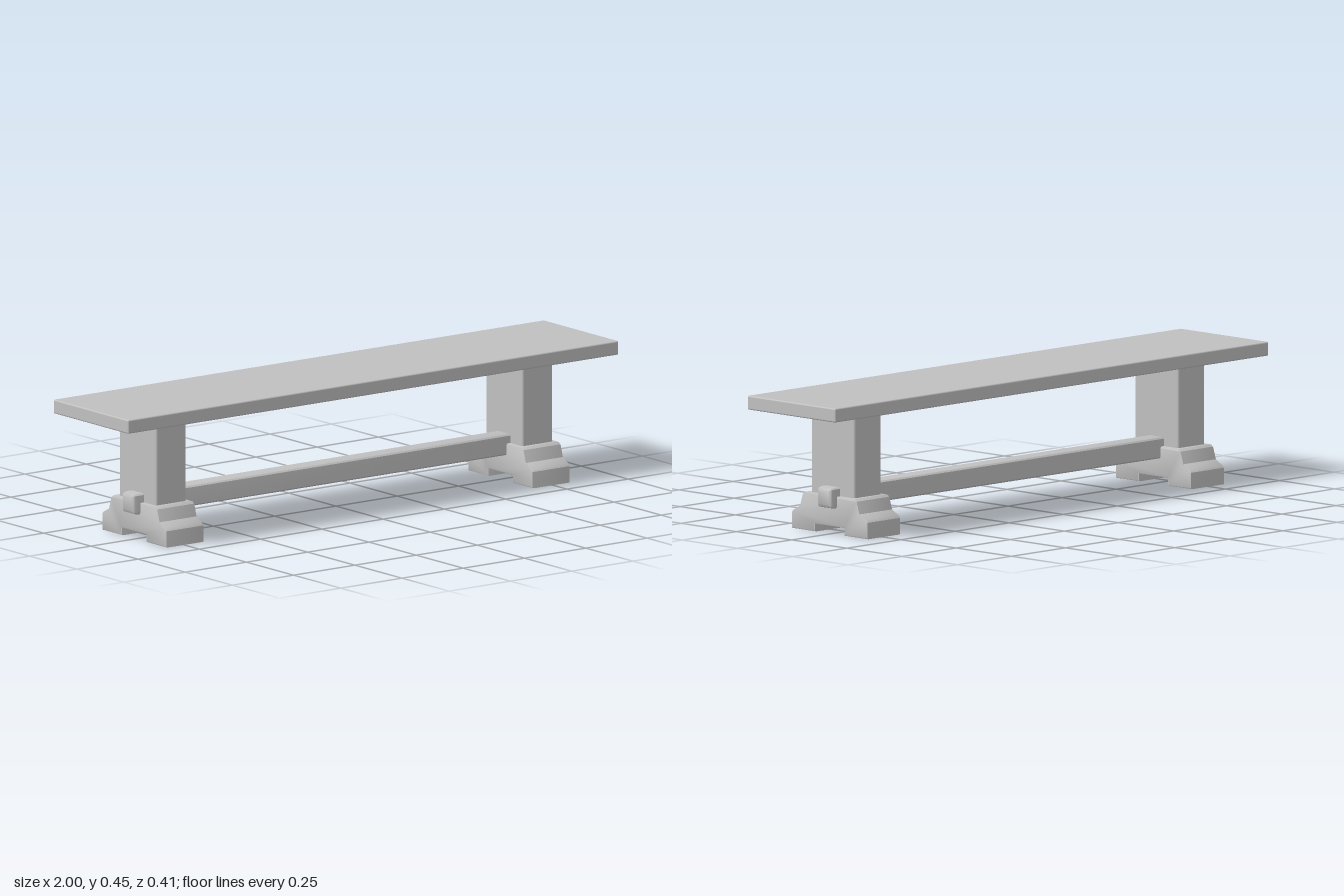
import * as THREE from 'three';
import { RoundedBoxGeometry } from 'three/addons/geometries/RoundedBoxGeometry.js';
import { toCreasedNormals } from 'three/addons/utils/BufferGeometryUtils.js';

// Extrude a (z, y) profile along x, centred, with softened end edges
function extrudeAlongX(points, length, bevelLength, bevelSize) {
  const shape = new THREE.Shape(points.map(([z, y]) => new THREE.Vector2(z, y)));
  const geometry = new THREE.ExtrudeGeometry(shape, {
    depth: length - 2 * bevelLength,
    bevelThickness: bevelLength,
    bevelSize,
    bevelOffset: -bevelSize,
    bevelSegments: 2,
  });
  geometry.translate(0, 0, bevelLength - length / 2);
  geometry.rotateY(-Math.PI / 2);
  return toCreasedNormals(geometry, 0.6);
}

export function createModel() {
  const bench = new THREE.Group();
  bench.name = 'trestleBench';
  const grey = new THREE.MeshStandardMaterial({ color: 0xc0c0c0 });
  grey.name = 'light grey';

  const add = (name, geometry, x, y) => {
    const mesh = new THREE.Mesh(geometry, grey);
    mesh.name = name;
    mesh.position.set(x, y, 0);
    bench.add(mesh);
  };

  // Seat plank
  add('seat', new RoundedBoxGeometry(1.996, 0.046, 0.4, 2, 0.005), 0, 0.427);

  // Stepped foot outline with a notch underneath
  const half = [
    [0.065, 0.025], [0.065, 0], [0.172, 0], [0.172, 0.054], [0.166, 0.062],
    [0.136, 0.078], [0.123, 0.118], [0.113, 0.125],
  ];
  const mirrored = half.map(([z, y]) => [-z, y]).reverse();
  const footGeometry = extrudeAlongX([...half, ...mirrored], 0.154, 0.006, 0.004);
  const postGeometry = new RoundedBoxGeometry(0.124, 0.31, 0.198, 2, 0.007);

  // Trestles at both ends
  for (const [side, sign] of [['left', 1], ['right', -1]]) {
    add(side + 'Foot', footGeometry, sign * 0.745, 0);
    add(side + 'Post', postGeometry, sign * 0.745, 0.26);
  }

  // Stretcher running through both trestles, with chamfered ends
  const h = 0.034, c = 0.005;
  const section = [
    [h - c, -h], [h, -h + c], [h, h - c], [h - c, h],
    [-h + c, h], [-h, h - c], [-h, -h + c], [-h + c, -h],
  ];
  add('stretcher', extrudeAlongX(section, 1.696, 0.018, 0.012), 0, 0.12);

  // Slight turn about the upright axis
  bench.rotation.y = -0.0042;
  const model = new THREE.Group();
  model.name = 'bench';
  model.add(bench);
  return model;
}
